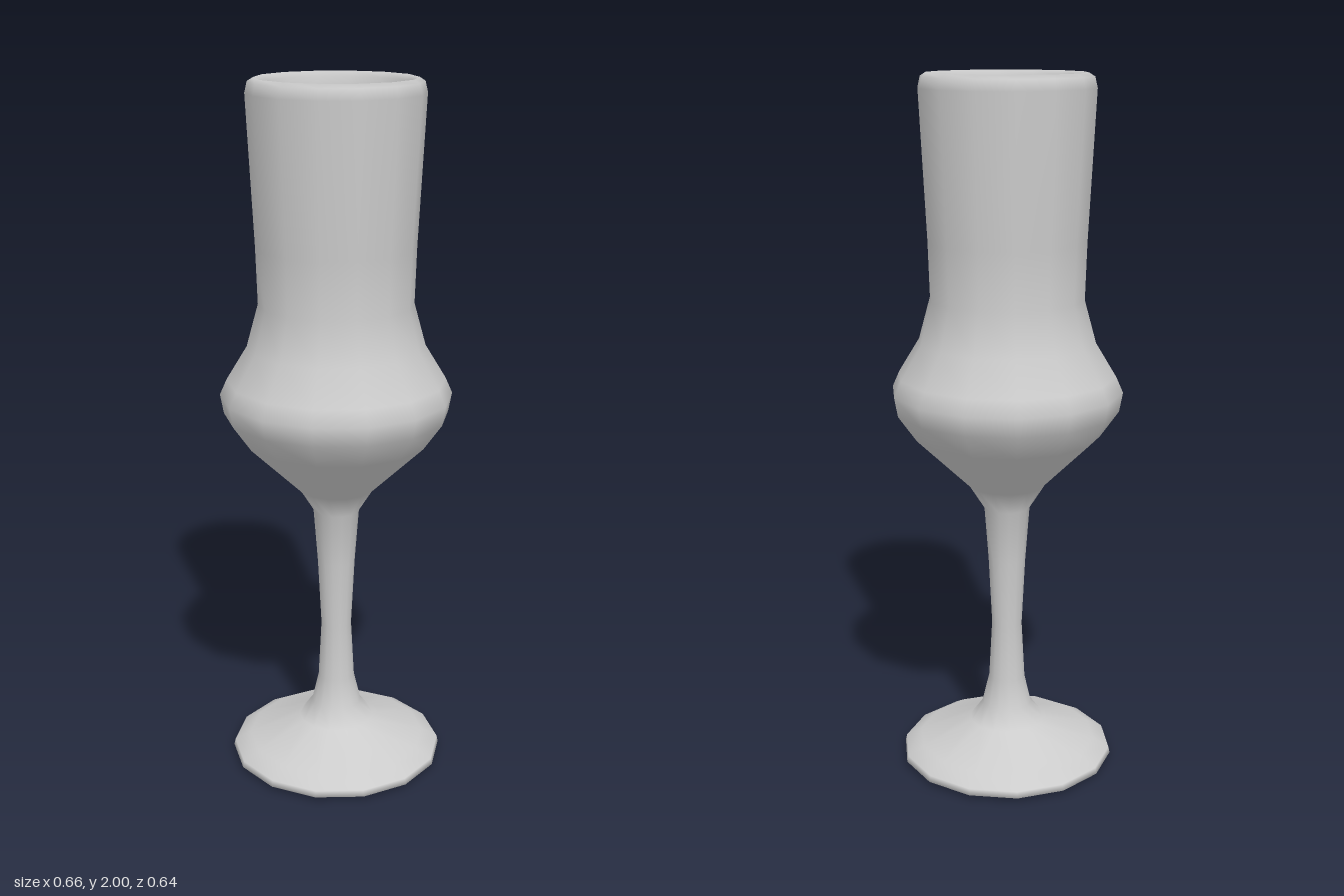
import * as THREE from 'three';

const SIDES = 14;

export function createModel() {
  const group = new THREE.Group();
  group.name = 'stemGlass';
  const material = new THREE.MeshStandardMaterial({ color: 0xcccccc });

  // Turns a list of [radius, height] points into a low-sided smooth part
  const turned = (name, points) => {
    const profile = points.map(([r, y]) => new THREE.Vector2(r, y));
    const mesh = new THREE.Mesh(new THREE.LatheGeometry(profile, SIDES, Math.PI / 2), material);
    mesh.name = name;
    group.add(mesh);
  };

  // Slightly hollow underside of the foot
  turned('footUnderside', [[0, 0.03], [0.16, 0.022], [0.29, 0]]);

  // Foot, stem, outer bowl, rounded rim and inner bowl in one continuous skin
  turned('glassBody', [
    // foot
    [0.29, 0], [0.312, 0.012], [0.308, 0.03], [0.26, 0.057], [0.11, 0.115],
    // stem
    [0.073, 0.165], [0.053, 0.25], [0.044, 0.42], [0.054, 0.62], [0.066, 0.78],
    // outer bowl
    [0.11, 0.85], [0.265, 1.0], [0.318, 1.075], [0.328, 1.13], [0.308, 1.175],
    [0.25, 1.27], [0.217, 1.39], [0.222, 1.55],
    // rim
    [0.243, 1.96], [0.236, 1.99], [0.22, 2.0], [0.206, 1.985],
    // inner bowl
    [0.2, 1.94], [0.187, 1.55], [0.184, 1.39], [0.215, 1.27], [0.272, 1.17],
    [0.288, 1.13], [0.278, 1.085], [0.235, 1.02], [0.1, 0.9], [0, 0.87],
  ]);

  return group;
}
